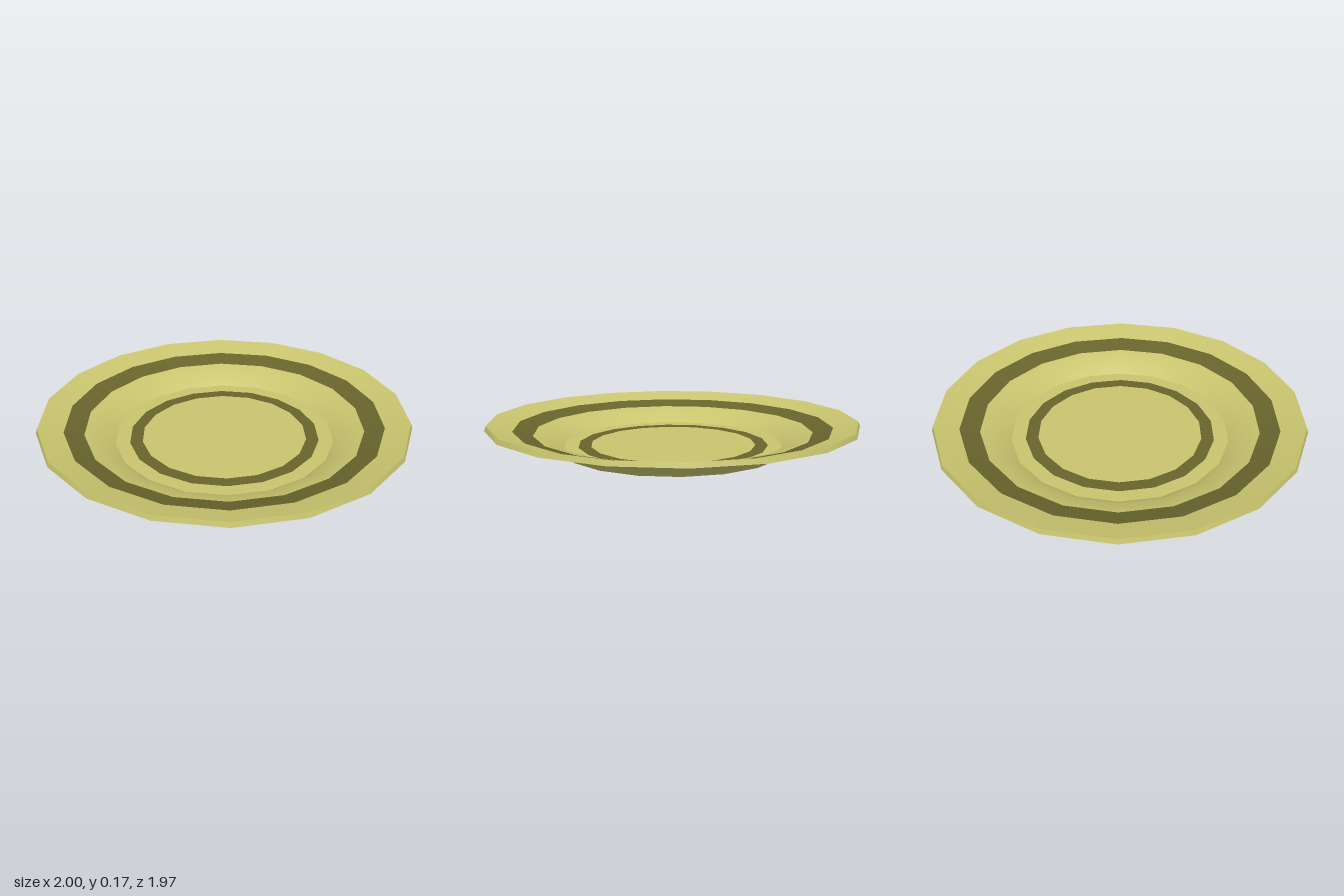
import * as THREE from 'three';

export function createModel() {
  const plate = new THREE.Group();
  plate.name = 'plate';

  const glaze = new THREE.MeshStandardMaterial({ color: 0xc8c46e });
  glaze.name = 'pale olive glaze';
  const band = new THREE.MeshStandardMaterial({ color: 0x67642c });
  band.name = 'dark olive band';

  // Revolve a [radius, height] profile into an 18-sided ring with a corner on +x.
  // Profiles run outward underneath and inward on top, so faces point outward.
  function ring(name, material, profile) {
    const points = profile.map(([r, y]) => new THREE.Vector2(r, y));
    const geometry = new THREE.LatheGeometry(points, 18, Math.PI / 2);
    const mesh = new THREE.Mesh(geometry, material);
    mesh.name = name;
    plate.add(mesh);
  }

  const floor = 0.03;

  // Underside and edge
  ring('base', glaze, [[0, 0], [0.6, 0]]);
  ring('underside', glaze, [[0.6, 0], [0.68, 0.06], [1, 0.145]]);
  ring('edge', glaze, [[1, 0.145], [0.992, 0.17]]);

  // Sloping rim with its painted band, then the wall of the well
  ring('outerRim', glaze, [[0.992, 0.17], [0.86, 0.134]]);
  ring('rimBand', band, [[0.86, 0.134], [0.755, 0.106]]);
  ring('innerRimAndWell', glaze, [[0.755, 0.106], [0.67, 0.083], [0.595, floor]]);

  // Flat floor with its painted band
  ring('outerFloor', glaze, [[0.595, floor], [0.518, floor]]);
  ring('floorBand', band, [[0.518, floor], [0.45, floor]]);
  ring('centre', glaze, [[0.45, floor], [0, floor]]);

  return plate;
}
